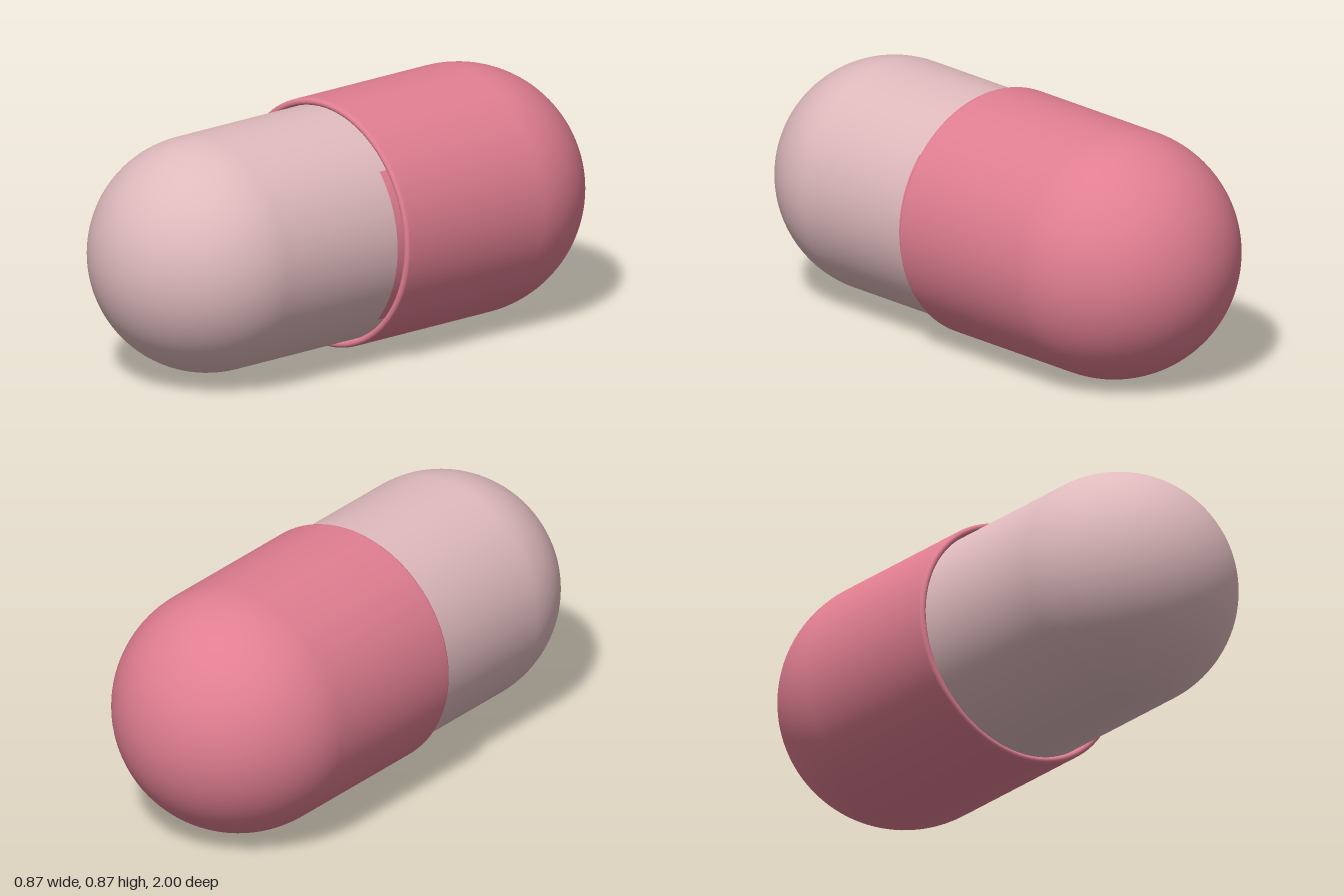
import * as THREE from 'three';

const CENTER_Y = 0.435;

// Points of an arc, in (radius, axis position)
function arc(cx, cy, r, from, to, steps) {
  return Array.from({ length: steps + 1 }, (_, i) => {
    const a = from + (to - from) * i / steps;
    return new THREE.Vector2(Math.max(0, cx + r * Math.cos(a)), cy + r * Math.sin(a));
  });
}

// Turned shell lying along z
function turned(name, points, material) {
  const geometry = new THREE.LatheGeometry(points, 96);
  geometry.rotateX(Math.PI / 2);
  const mesh = new THREE.Mesh(geometry, material);
  mesh.name = name;
  mesh.position.y = CENTER_Y;
  return mesh;
}

export function createModel() {
  const group = new THREE.Group();
  group.name = 'capsule';
  const pink = new THREE.MeshStandardMaterial({ color: 0xe07e91 });
  pink.name = 'rose pink';
  const pale = new THREE.MeshStandardMaterial({ color: 0xdfbabd });
  pale.name = 'pale pink';
  const H = Math.PI / 2;

  // Wider back shell: dome, straight wall, rounded lip closing onto the front shell
  const R = 0.434, lip = 0.012;
  group.add(turned('backShell', [
    ...arc(0, -1 + R, R, -H, 0, 32),
    new THREE.Vector2(R, 0.03),
    ...arc(R - lip, 0.06 - lip, lip, 0, Math.PI, 12),
    new THREE.Vector2(R - 2 * lip, 0.03),
    new THREE.Vector2(0.4, 0.03),
  ], pink));

  // Narrower front shell sliding into the back one
  const r = 0.409;
  group.add(turned('frontShell', [
    new THREE.Vector2(r, -0.1),
    new THREE.Vector2(r, 0.3),
    ...arc(0, 1 - r, r, 0, H, 32),
  ], pale));

  // Thin seam tint beside the lip on the left flank
  const seam = new THREE.CylinderGeometry(r + 0.001, r + 0.001, 0.04, 32, 1, true, H - 0.72, 1.4);
  seam.rotateX(H);
  const seamTint = new THREE.Mesh(seam, pink);
  seamTint.name = 'seamTint';
  seamTint.position.set(0, CENTER_Y, 0.064);
  group.add(seamTint);

  return group;
}
